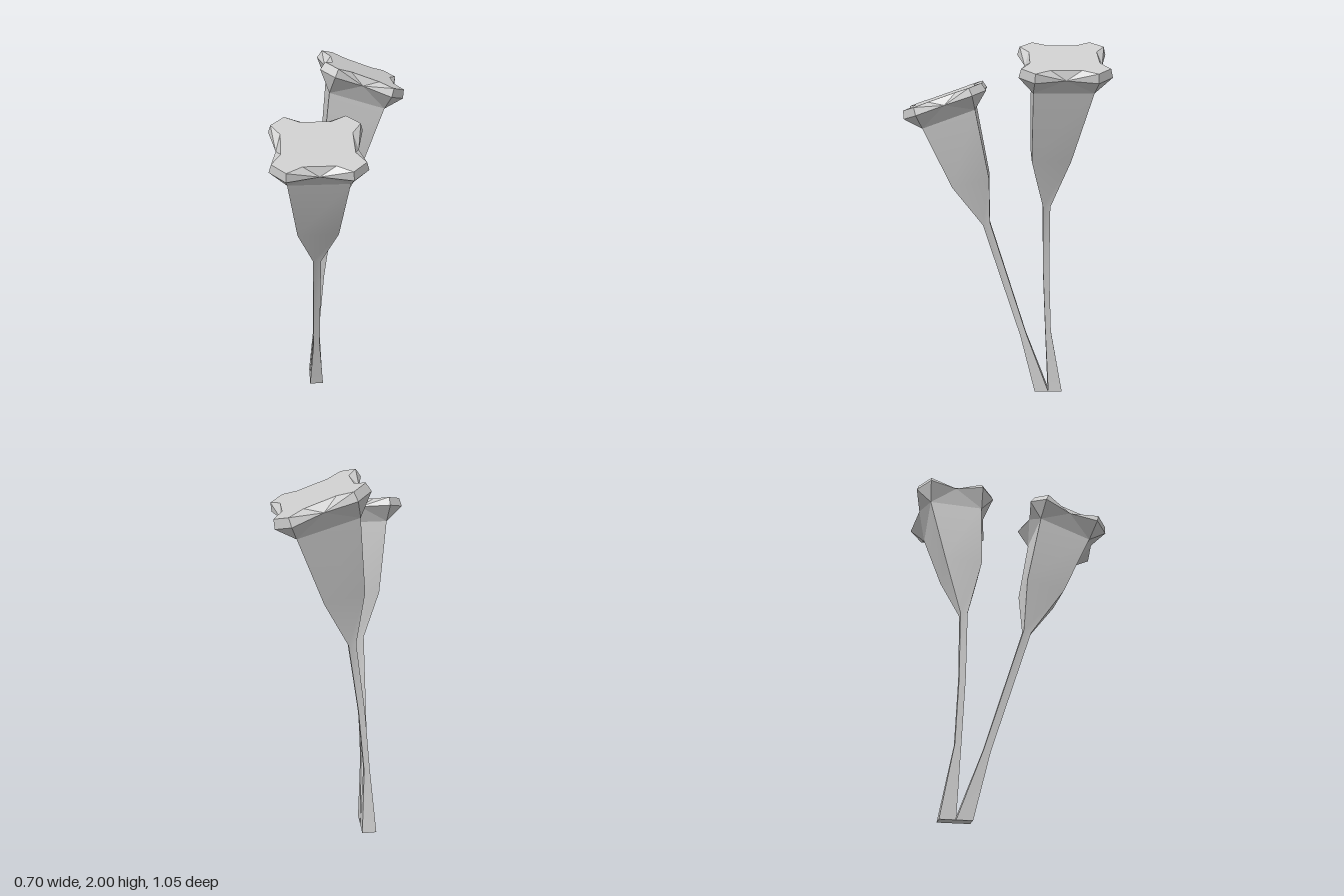
import * as THREE from 'three';
import { toCreasedNormals } from 'three/addons/utils/BufferGeometryUtils.js';

const grey = new THREE.MeshStandardMaterial({ color: 0xcccccc });
const greyFlat = new THREE.MeshStandardMaterial({ color: 0xcccccc, flatShading: true });

// Collects triangles, splitting polygons into fans.
function surface() {
  const pos = [];
  return {
    poly(...p) {
      for (let i = 1; i < p.length - 1; i++) {
        for (const v of [p[0], p[i], p[i + 1]]) pos.push(v.x, v.y, v.z);
      }
    },
    geometry() {
      const g = new THREE.BufferGeometry();
      g.setAttribute('position', new THREE.Float32BufferAttribute(pos, 3));
      g.computeVertexNormals();
      return g;
    },
  };
}

// Maps (u, v) on a ring's plane into space; the ring leans along 'x' or 'z'.
function place(ring, lean, u, v) {
  const [cx, cy, cz, , deg] = ring;
  const t = THREE.MathUtils.degToRad(deg);
  return lean === 'x'
    ? new THREE.Vector3(cx + u * Math.cos(t), cy - u * Math.sin(t), cz + v)
    : new THREE.Vector3(cx + u, cy - v * Math.sin(t), cz + v * Math.cos(t));
}

// Quarter turns carrying the +v side round to the +u side and on.
function turn(k, [u, v]) {
  for (let i = 0; i < k; i++) [u, v] = [v, -u];
  return [u, v];
}

// Square stalk swelling into the bell.
function makeStalk(rings, lean) {
  const s = surface();
  const corner = (r, k, side) => place(r, lean, ...turn(k, [side * r[3], r[3]]));
  for (let i = 0; i < rings.length - 1; i++) {
    for (let k = 0; k < 4; k++) {
      const a = rings[i], b = rings[i + 1];
      s.poly(corner(a, k, -1), corner(a, k, 1), corner(b, k, 1), corner(b, k, -1));
    }
  }
  s.poly(...[3, 2, 1, 0].map((k) => corner(rings[0], k, -1)));
  const mesh = new THREE.Mesh(toCreasedNormals(s.geometry(), 0.5), grey);
  mesh.name = 'stalk';
  return mesh;
}

// Flared cap with four clipped corners and a notch bevelled into each side.
function makeCap(neck, lower, top, lean) {
  const s = surface();
  const n = neck[3];
  const center = place(top, lean, 0, 0);
  for (let k = 0; k < 4; k++) {
    const at = (ring, u, v, q = k) => place(ring, lean, ...turn(q, [u, v]));
    const c0 = at(neck, -n, n), c1 = at(neck, n, n);
    const p = at(lower, -0.153, 0.228), m = at(lower, 0, 0.194), q = at(lower, 0.153, 0.228);
    const t0 = at(top, -0.15, 0.216), t1 = at(top, 0.15, 0.216);
    const n0 = at(top, -0.076, 0.171), n1 = at(top, 0.076, 0.171);
    const pNext = at(lower, -0.153, 0.228, k + 1), tNext = at(top, -0.15, 0.216, k + 1);
    // underside
    s.poly(c0, m, p);
    s.poly(c0, c1, m);
    s.poly(c1, q, m);
    s.poly(c1, pNext, q);
    // notch bevel
    s.poly(t0, p, m);
    s.poly(t0, m, n0);
    s.poly(n0, m, n1);
    s.poly(n1, m, t1);
    s.poly(m, q, t1);
    // clipped corner
    s.poly(q, pNext, tNext, t1);
    // top face
    s.poly(center, t0, n0, n1, t1, tNext);
  }
  const mesh = new THREE.Mesh(s.geometry(), greyFlat);
  mesh.name = 'cap';
  return mesh;
}

function makeFlower(name, lean, rings, lower, top) {
  const group = new THREE.Group();
  group.name = name;
  group.add(makeStalk(rings, lean), makeCap(rings[rings.length - 1], lower, top, lean));
  return group;
}

export function createModel() {
  const model = new THREE.Group();
  model.name = 'flowerPair';
  // rings: centre x, y, z, half width, tilt in degrees
  model.add(
    makeFlower('frontFlower', 'z', [
      [-0.123, 0, -0.225, 0.04, 0],
      [-0.123, 0.35, -0.116, 0.018, 16],
      [-0.123, 1.017, 0.095, 0.021, 22],
      [-0.123, 1.262, 0.178, 0.103, 13],
      [-0.123, 1.61, 0.287, 0.147, 19.5],
    ], [-0.123, 1.685, 0.305, 0, 19], [-0.123, 1.725, 0.319, 0, 19]),
    makeFlower('backFlower', 'x', [
      [-0.123, 0, -0.305, 0.04, 0],
      [-0.115, 0.375, -0.26, 0.016, 5],
      [-0.084, 0.74, -0.242, 0.017, 8],
      [-0.031, 1.135, -0.235, 0.02, 10],
      [0.022, 1.425, -0.248, 0.102, 14],
      [0.108, 1.80, -0.294, 0.15, 17],
    ], [0.133, 1.885, -0.299, 0, 20], [0.148, 1.926, -0.299, 0, 20]),
  );
  return model;
}
